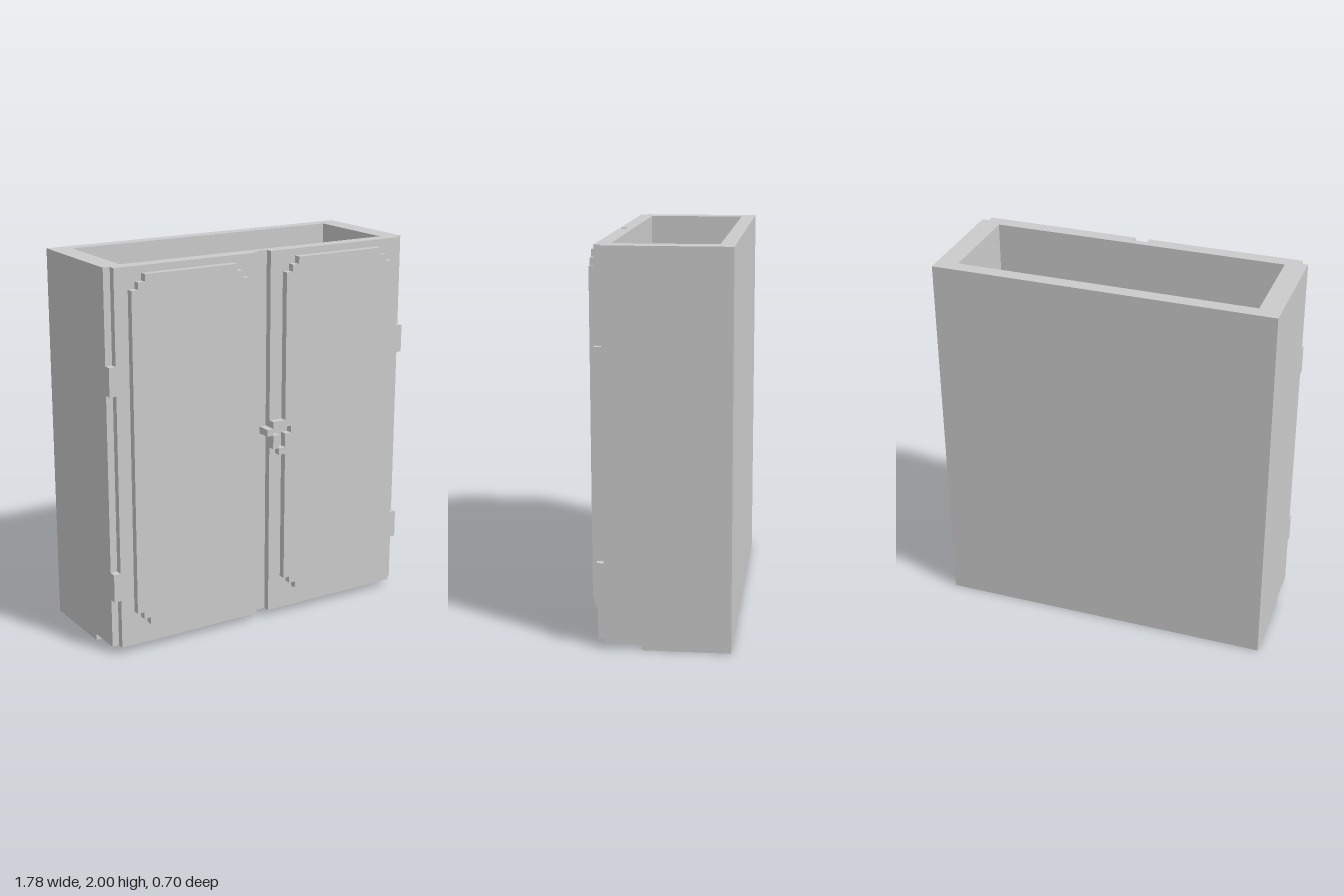
import * as THREE from 'three';

// The cabinet is laid out on a block grid: 54 blocks tall, 48 wide, 19 deep.
const U = 1 / 27;
const material = new THREE.MeshStandardMaterial({ color: 0xcccccc, flatShading: true });

function shapeOf(points) {
  return new THREE.Shape(points.map(([x, y]) => new THREE.Vector2(x * U, y * U)));
}

function extrude(shape, depth) {
  return new THREE.ExtrudeGeometry(shape, { depth: depth * U, bevelEnabled: false });
}

function add(parent, name, geometry) {
  const mesh = new THREE.Mesh(geometry, material);
  mesh.name = name;
  parent.add(mesh);
  return mesh;
}

// Box given by its lower and upper corners in blocks
function block(parent, name, [x0, y0, z0], [x1, y1, z1]) {
  const mesh = add(parent, name, new THREE.BoxGeometry((x1 - x0) * U, (y1 - y0) * U, (z1 - z0) * U));
  mesh.position.set((x0 + x1) / 2 * U, (y0 + y1) / 2 * U, (z0 + z1) / 2 * U);
  return mesh;
}

// Raised door panel with stepped corners; extra points may notch its inner edge
function panelPoints(x0, x1, innerNotch = []) {
  const y0 = 4, y1 = 53;
  return [
    [x0 + 2, y0], [x1 - 2, y0], [x1 - 2, y0 + 1], [x1 - 1, y0 + 1], [x1 - 1, y0 + 2], [x1, y0 + 2],
    [x1, y1 - 2], [x1 - 1, y1 - 2], [x1 - 1, y1 - 1], [x1 - 2, y1 - 1], [x1 - 2, y1],
    [x0 + 2, y1], [x0 + 2, y1 - 1], [x0 + 1, y1 - 1], [x0 + 1, y1 - 2], [x0, y1 - 2],
    ...innerNotch,
    [x0, y0 + 2], [x0 + 1, y0 + 2], [x0 + 1, y0 + 1], [x0 + 2, y0 + 1],
  ];
}

export function createModel() {
  const cabinet = new THREE.Group();
  cabinet.name = 'cabinet';

  // Walls: plan outline (x, -z) with hinge rebates and a centre groove, open inside
  const plan = shapeOf([
    [-24, 9.5], [-24, -7.5], [-23, -7.5], [-23, -8.5], [-1, -8.5], [-1, -7.5],
    [1, -7.5], [1, -8.5], [23, -8.5], [23, -7.5], [24, -7.5], [24, 9.5],
  ]);
  plan.holes.push(shapeOf([[-21, 7.5], [21, 7.5], [21, -6.5], [-21, -6.5]]));
  const walls = add(cabinet, 'walls', extrude(plan, 53).rotateX(-Math.PI / 2));
  walls.position.y = U;

  // Floor stops short of the front, leaving a slot
  block(cabinet, 'floor', [-24, 0, -9.5], [24, 1, 2.5]);

  // Hinges fill parts of the corner rebates
  for (const x of [-24, 23]) {
    for (const y of [8, 37]) block(cabinet, 'hinge', [x, y, 7.5], [x + 1, y + 4, 8.5]);
  }

  // Door panels
  const rightPanel = add(cabinet, 'rightDoorPanel', extrude(shapeOf(panelPoints(-21, -3)), 1));
  const leftPanel = add(cabinet, 'leftDoorPanel',
    extrude(shapeOf(panelPoints(3, 21, [[3, 29], [4, 29], [4, 28], [3, 28]])), 1));
  rightPanel.position.z = leftPanel.position.z = 8.5 * U;

  // Lock plate around a T-shaped recess, with a catch in the groove
  const lock = new THREE.Group();
  lock.name = 'lock';
  cabinet.add(lock);
  block(lock, 'plateTop', [1, 29, 8.5], [3, 30, 9.5]);
  block(lock, 'plateSide', [1, 26, 8.5], [2, 28, 9.5]);
  block(lock, 'plateBottom', [2, 25, 8.5], [3, 26, 9.5]);
  block(lock, 'catch', [0, 28, 7.5], [1, 29, 9.5]);

  return cabinet;
}
